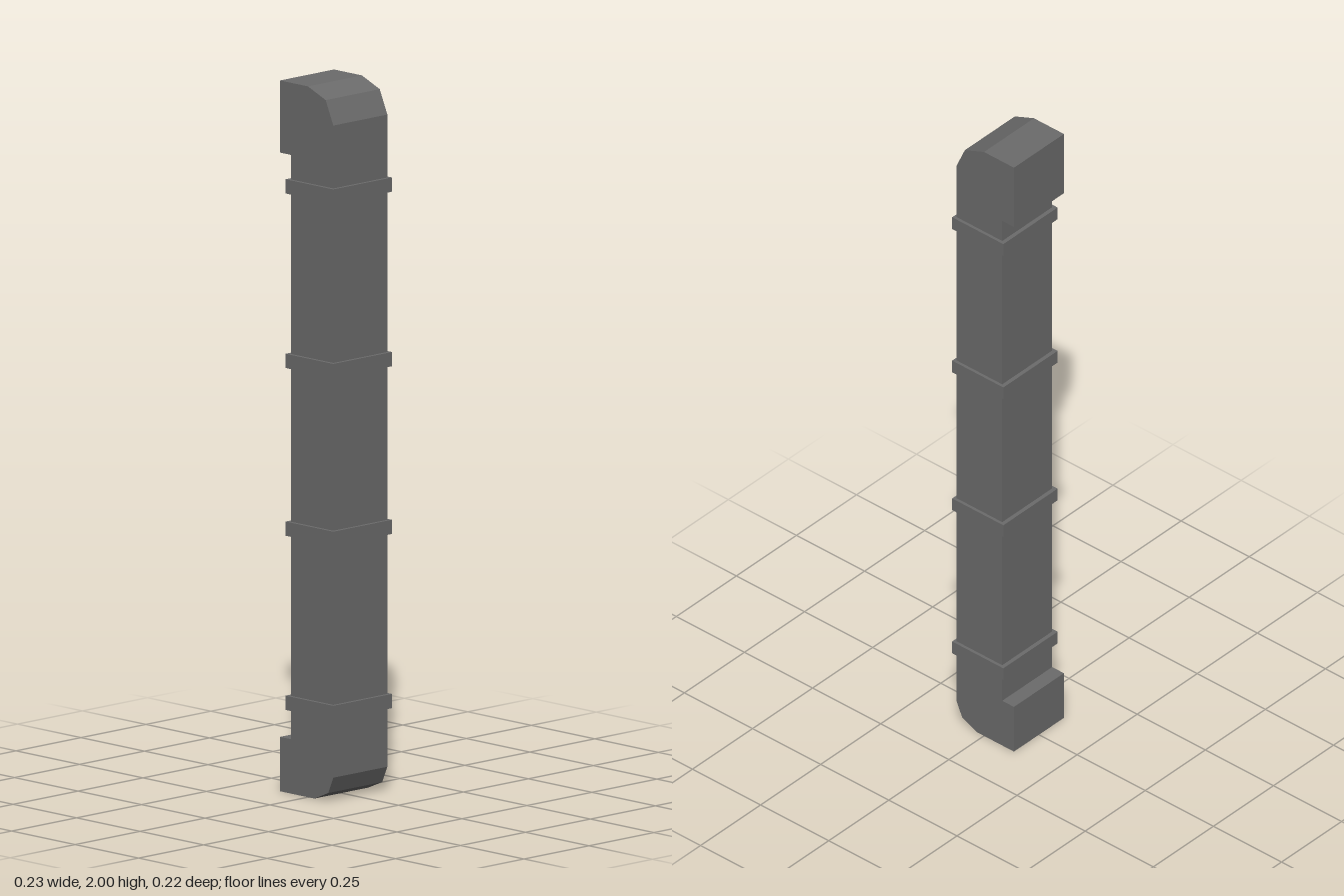
import * as THREE from 'three';

export function createModel() {
  const group = new THREE.Group();
  const metal = new THREE.MeshStandardMaterial({ color: 0x6b6b6b });
  metal.name = 'grey metal';

  // Duct: side outline (z, y) with a faceted elbow at each end, extruded across x
  const width = 0.208;
  const outline = [
    [-0.11, 0], [0.025, 0], [0.08, 0.024], [0.1, 0.07],
    [0.1, 1.905], [0.07, 1.972], [0, 2], [-0.11, 2],
    [-0.11, 1.797], [-0.067, 1.797], [-0.067, 0.153], [-0.11, 0.153],
  ];
  const shape = new THREE.Shape(outline.map(([z, y]) => new THREE.Vector2(z, y)));
  const ductGeometry = new THREE.ExtrudeGeometry(shape, { depth: width, bevelEnabled: false });
  ductGeometry.translate(0, 0, -width / 2).rotateY(-Math.PI / 2);
  const duct = new THREE.Mesh(ductGeometry, metal);
  duct.name = 'duct';
  group.add(duct);

  // Collars around the straight run
  const collarGeometry = new THREE.BoxGeometry(0.226, 0.04, 0.188);
  [0.255, 0.745, 1.217, 1.708].forEach((y, i) => {
    const collar = new THREE.Mesh(collarGeometry, metal);
    collar.name = `collar${i + 1}`;
    collar.position.set(0, y, 0.015);
    group.add(collar);
  });

  return group;
}
